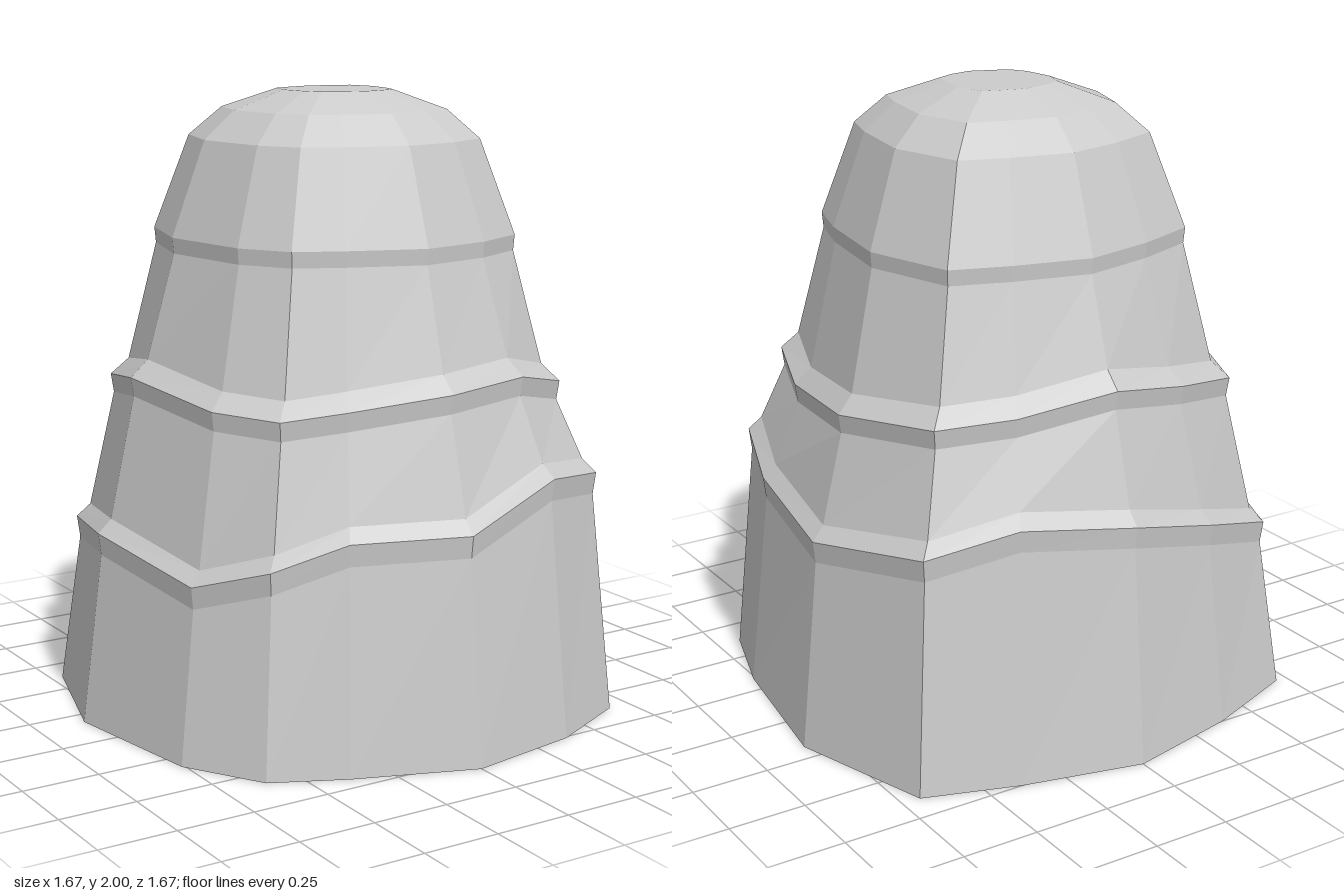
import * as THREE from 'three';

// Base outline, one entry per corner: x, z, height of lower ledge, height of upper ledge
const columns = [
  [0, -0.84, 0.77, 1.17], [0.39, -0.75, 0.81, 1.12], [0.69, -0.65, 0.745, 1.105],
  [0.835, -0.18, 0.68, 1.065], [0.76, 0.33, 0.72, 1.035], [0.67, 0.62, 0.79, 1.085],
  [0.38, 0.76, 0.83, 1.14], [0, 0.83, 0.715, 1.125], [-0.38, 0.69, 0.71, 1.085],
  [-0.61, 0.58, 0.63, 1.06], [-0.76, 0.33, 0.55, 1.07], [-0.84, -0.18, 0.62, 1.115],
  [-0.71, -0.62, 0.57, 1.06], [-0.38, -0.75, 0.67, 1.11],
];

// Rings from bottom to top: outline scale and height rule
const rings = [
  [1, () => 0],
  [0.92, (low) => low - 0.07],
  [0.93, (low) => low],
  [0.88, (low) => low + 0.045],
  [0.785, (low, high) => high - 0.06],
  [0.795, (low, high) => high],
  [0.73, (low, high) => high + 0.055],
  [0.625, () => 1.5],
  [0.63, () => 1.55],
  [0.505, () => 1.85],
  [0.39, () => 1.94],
  [0.2, () => 2],
];

function towerGeometry() {
  const n = columns.length;
  const positions = [];
  const index = [];
  for (const [scale, height] of rings) {
    for (const [x, z, low, high] of columns) {
      positions.push(x * scale, height(low, high), z * scale);
    }
  }
  // Side walls
  for (let r = 0; r < rings.length - 1; r++) {
    for (let i = 0; i < n; i++) {
      const a = r * n + i;
      const b = r * n + (i + 1) % n;
      index.push(a, a + n, b, b, a + n, b + n);
    }
  }
  // Flat summit
  const top = (rings.length - 1) * n;
  const centre = positions.length / 3;
  positions.push(0, 2, 0);
  for (let i = 0; i < n; i++) index.push(centre, top + (i + 1) % n, top + i);

  const indexed = new THREE.BufferGeometry();
  indexed.setAttribute('position', new THREE.Float32BufferAttribute(positions, 3));
  indexed.setIndex(index);
  const geometry = indexed.toNonIndexed();
  geometry.computeVertexNormals();
  return geometry;
}

export function createModel() {
  const group = new THREE.Group();
  group.name = 'rockTower';
  // Open underneath, so the shell is double sided
  const material = new THREE.MeshStandardMaterial({
    color: 0xcccccc, flatShading: true, side: THREE.DoubleSide,
  });
  const rock = new THREE.Mesh(towerGeometry(), material);
  rock.name = 'rock';
  group.add(rock);
  return group;
}
